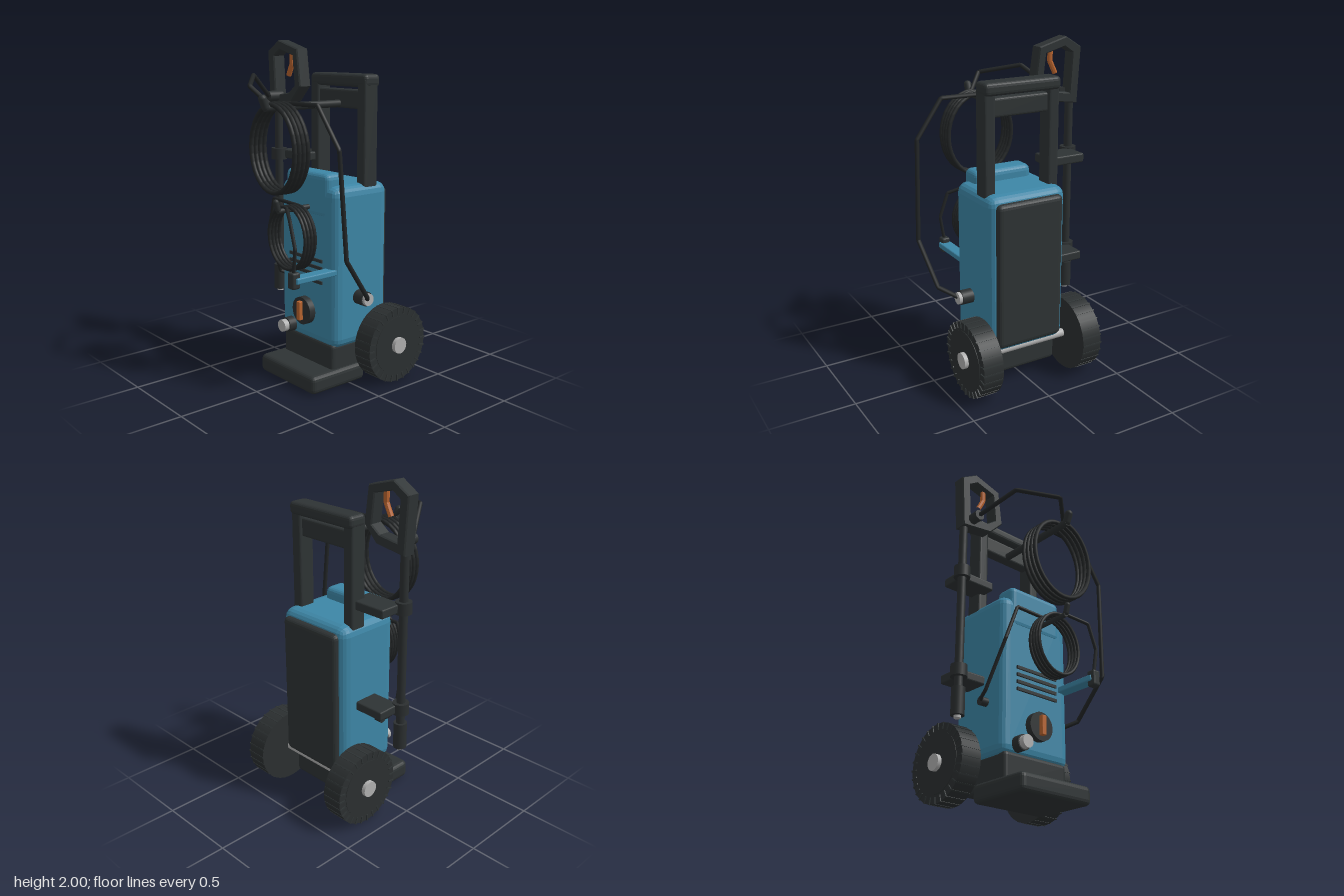
import * as THREE from 'three';
import { RoundedBoxGeometry } from 'three/addons/geometries/RoundedBoxGeometry.js';

const mat = (color, flatShading = false) => new THREE.MeshStandardMaterial({ color, flatShading });
const BLUE = mat(0x3d86a6, true);
const DARK = mat(0x2e3334, true);
const BLACK = mat(0x2b2f30);
const HOSE = mat(0x222526);
const METAL = mat(0xb0b0b0);
const ORANGE = mat(0xb8642f, true);

export function createModel() {
  const model = new THREE.Group();

  function add(name, geometry, material, parent = model) {
    const mesh = new THREE.Mesh(geometry, material);
    mesh.name = name;
    parent.add(mesh);
    return mesh;
  }

  // Bevelled block given by its min and max on each axis
  function block(name, [x0, x1], [y0, y1], [z0, z1], bevel, material) {
    const size = [x1 - x0, y1 - y0, z1 - z0];
    const geometry = bevel
      ? new RoundedBoxGeometry(...size, 2, bevel)
      : new THREE.BoxGeometry(...size);
    geometry.translate((x0 + x1) / 2, (y0 + y1) / 2, (z0 + z1) / 2);
    return add(name, geometry, material);
  }

  // Cylinder running along one axis from a to b
  function rod(name, axis, a, b, [x, y, z], r, material, parent = model, sides = 24) {
    const geometry = new THREE.CylinderGeometry(r, r, b - a, sides);
    if (axis === 'x') geometry.rotateZ(-Math.PI / 2);
    if (axis === 'z') geometry.rotateX(Math.PI / 2);
    const mesh = add(name, geometry, material, parent);
    mesh.position.set(x, y, z);
    mesh.position[axis] = (a + b) / 2;
    return mesh;
  }

  // Tube following straight runs between points
  function hose(name, points, r, material = HOSE, segments = 500) {
    const path = new THREE.CurvePath();
    for (let i = 1; i < points.length; i++) {
      path.add(new THREE.LineCurve3(points[i - 1], points[i]));
    }
    path.arcLengthDivisions = segments * 2;
    return add(name, new THREE.TubeGeometry(path, segments, r, 8), material);
  }

  // Elliptical coil starting and ending at the top; dir 1 starts towards +x
  function coil(x, y, rx, ry, z0, z1, turns, dir) {
    const points = [];
    const n = turns * 32;
    for (let i = 0; i <= n; i++) {
      const a = (i / 32) * Math.PI * 2;
      points.push(new THREE.Vector3(
        x + dir * rx * Math.sin(a), y + ry * Math.cos(a), z0 + (z1 - z0) * i / n));
    }
    return points;
  }
  const pts = (...list) => list.map((p) => new THREE.Vector3(...p));

  // Housing and base
  block('housing', [-0.245, 0.265], [0.23, 1.19], [-0.285, 0.135], 0.06, BLUE);
  block('topCover', [-0.18, 0.2], [1.0, 1.26], [0, 0.14], 0.035, BLUE);
  block('backPanel', [-0.205, 0.225], [0.27, 1.15], [-0.315, -0.2], 0.03, DARK);
  block('baseBlock', [-0.22, 0.24], [0.06, 0.26], [-0.22, 0.13], 0.025, DARK);
  block('foot', [-0.245, 0.265], [0, 0.11], [-0.11, 0.295], 0.03, DARK);

  // Push handle
  for (const x of [-0.2, 0.215]) {
    block('handlePost', [x - 0.035, x + 0.035], [1.12, 1.79], [-0.205, -0.1], 0.015, DARK);
  }
  block('handleGrip', [-0.238, 0.253], [1.735, 1.81], [-0.22, -0.098], 0.025, DARK);
  block('handleCrossbar', [-0.18, 0.195], [1.61, 1.72], [-0.185, -0.115], 0.015, DARK);

  // Wheels on a common axle
  const axleY = 0.228, axleZ = -0.236, middle = 0.008;
  rod('axle', 'x', middle - 0.42, middle + 0.42, [0, axleY, axleZ], 0.025, METAL);
  for (const side of [-1, 1]) {
    const wheel = new THREE.Group();
    wheel.name = side > 0 ? 'leftWheel' : 'rightWheel';
    wheel.position.set(middle + side * 0.337, axleY, axleZ);
    wheel.rotation.y = side > 0 ? 0 : Math.PI;
    model.add(wheel);
    rod('tyre', 'x', -0.063, 0.063, [0, 0, 0], 0.226, BLACK, wheel, 48);
    rod('rim', 'x', 0, 0.066, [0, 0, 0], 0.175, BLACK, wheel, 40);
    rod('hubCap', 'x', 0.02, 0.09, [0, 0, 0], 0.048, METAL, wheel);
    for (let i = 0; i < 28; i++) {
      const a = (i / 28) * Math.PI * 2;
      const lug = add('treadLug', new THREE.BoxGeometry(0.13, 0.04, 0.009), DARK, wheel);
      lug.position.set(0.004, 0.208 * Math.cos(a), 0.208 * Math.sin(a));
      lug.rotation.x = a;
    }
  }

  // Spray lance with its two holders
  const lanceX = -0.435, lanceZ = -0.008;
  const at = [lanceX, 0, lanceZ];
  rod('lance', 'y', 0.5, 1.66, at, 0.025, BLACK);
  rod('nozzle', 'y', 0.43, 0.59, at, 0.039, BLACK);
  rod('nozzleTip', 'y', 0.415, 0.45, at, 0.02, METAL);
  for (const y of [1.305, 0.687]) {
    rod('lanceClamp', 'y', y - 0.035, y + 0.035, at, 0.048, BLACK);
    block('lanceHolder', [-0.435, -0.19], [y - 0.027, y + 0.027], [-0.178, -0.02], 0.01, DARK);
  }

  // Spray gun: a closed loop frame
  const outline = [[-0.485, 1.935], [-0.465, 1.605], [-0.26, 1.635],
    [-0.17, 1.73], [-0.2, 1.95], [-0.38, 2]];
  const opening = [[-0.425, 1.905], [-0.37, 1.942], [-0.245, 1.91],
    [-0.225, 1.735], [-0.285, 1.69], [-0.41, 1.672]];
  const toVectors = (list) => list.map(([x, y]) => new THREE.Vector2(x, y));
  const frame = new THREE.Shape(toVectors(outline));
  frame.holes.push(new THREE.Path(toVectors(opening)));
  const gun = new THREE.ExtrudeGeometry(frame, {
    depth: 0.069, bevelThickness: 0.008, bevelSize: 0.006, bevelOffset: -0.006, bevelSegments: 1,
  });
  gun.translate(0, 0, -0.043);
  add('sprayGun', gun, DARK);
  hose('trigger', pts([-0.295, 1.93, -0.008], [-0.295, 1.86, -0.008], [-0.33, 1.79, -0.008]),
    0.016, ORANGE, 24);
  rod('gunInlet', 'z', 0, 0.1, [-0.4, 1.665, 0], 0.032, BLACK);

  // High pressure hose on its hook
  rod('hoseHook', 'z', -0.13, 0.42, [0.008, 1.635, 0], 0.022, BLACK);
  const hookTip = add('hoseHookTip', new THREE.CapsuleGeometry(0.024, 0.05, 4, 16), BLACK);
  hookTip.position.set(0.008, 1.662, 0.424);
  hookTip.rotation.x = 0.4;
  hose('pressureHose', [
    ...pts([-0.4, 1.665, 0.09], [-0.28, 1.8, 0.287], [-0.08, 1.75, 0.455]),
    ...coil(0.008, 1.405, 0.212, 0.248, 0.387, 0.265, 4, 1),
    ...pts([0.275, 1.655, 0.265], [0.44, 1.43, 0.255], [0.468, 0.83, 0.225],
      [0.435, 0.585, 0.04], [0.34, 0.53, -0.05]),
  ], 0.0135, HOSE, 800);
  rod('outletFitting', 'x', 0.24, 0.337, [0, 0.53, -0.05], 0.043, BLACK);
  rod('outletRing', 'x', 0.33, 0.357, [0, 0.53, -0.05], 0.036, METAL);

  // Power cord on its hook
  rod('cordHook', 'z', 0.1, 0.36, [0.037, 1.055, 0], 0.015, BLACK);
  const cordTip = add('cordHookTip', new THREE.CapsuleGeometry(0.017, 0.045, 4, 16), BLACK);
  cordTip.position.set(0.037, 1.088, 0.366);
  cordTip.rotation.x = 0.3;
  hose('powerCord', [
    ...pts([0.215, 0.73, 0.39], [0.237, 0.88, 0.395], [0.185, 1.03, 0.39], [0.08, 1.075, 0.33]),
    ...coil(0.037, 0.89, 0.16, 0.182, 0.31, 0.215, 4, -1),
    ...pts([-0.2, 1.08, 0.21], [-0.272, 0.87, 0.195], [-0.315, 0.585, 0.08],
      [-0.3, 0.555, 0.02], [-0.25, 0.55, 0]),
  ], 0.0105, HOSE, 700);
  rod('cordGland', 'x', -0.29, -0.23, [0, 0.55, 0], 0.025, BLACK);
  block('plugArm', [0.18, 0.255], [0.68, 0.715], [0.1, 0.395], 0.008, BLUE);
  block('plug', [0.188, 0.242], [0.65, 0.745], [0.36, 0.415], 0.012, DARK);

  // Front panel: vents, dial and water inlet
  for (let i = 0; i < 4; i++) {
    const y = 0.75 - i * 0.043;
    block('ventSlat', [-0.14, 0.16], [y - 0.009, y + 0.009], [0.12, 0.145], 0, DARK);
  }
  rod('dial', 'z', 0.12, 0.175, [0.01, 0.425, 0], 0.083, BLACK, model, 32);
  block('dialPointer', [-0.006, 0.024], [0.37, 0.485], [0.17, 0.2], 0.004, ORANGE);
  rod('waterInlet', 'z', 0.12, 0.185, [-0.128, 0.302, 0], 0.045, BLACK);
  rod('waterInletRing', 'z', 0.18, 0.218, [-0.128, 0.302, 0], 0.037, METAL);

  return model;
}
